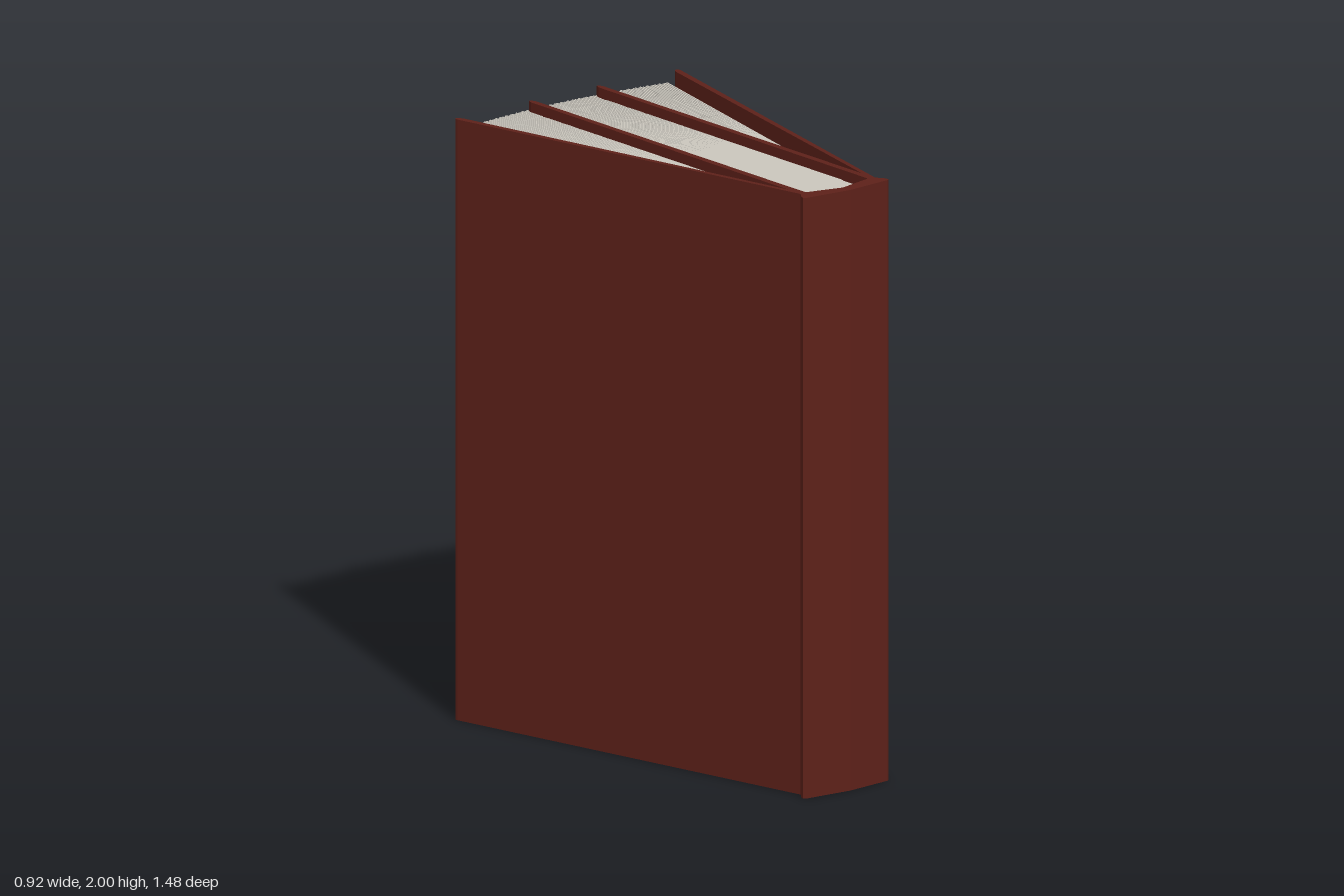
import * as THREE from 'three';

// Upright extrusion of a plan outline given as [x, z] points
function prism(name, plan, y0, y1, material) {
  const shape = new THREE.Shape(plan.map(([x, z]) => new THREE.Vector2(x, -z)));
  const geometry = new THREE.ExtrudeGeometry(shape, { depth: y1 - y0, bevelEnabled: false });
  geometry.rotateX(-Math.PI / 2).translate(0, y0, 0);
  const mesh = new THREE.Mesh(geometry, material);
  mesh.name = name;
  return mesh;
}

// Full symmetric outline from its +x half
const mirrored = (half) => [...half, ...half.map(([x, z]) => [-x, z]).reverse()];

export function createModel() {
  const book = new THREE.Group();
  book.name = 'book';
  const leather = new THREE.MeshStandardMaterial({ color: 0x5e2119 });
  const paper = new THREE.MeshStandardMaterial({ color: 0xcbc7be });

  // Spine with flared corners and a shallow ridge along the middle
  book.add(prism('spine', mirrored([
    [0, 0.737], [0.165, 0.722], [0.176, 0.715], [0.172, 0.7], [0.152, 0.672], [0.128, 0.668], [0, 0.7],
  ]), 0, 2, leather));

  // Splayed covers and the straight inner boards, with rounded fore-edges
  for (const s of [1, -1]) {
    const side = s > 0 ? 'left' : 'right';
    const flip = (plan) => plan.map(([x, z]) => [x * s, z]);
    book.add(prism(side + 'Cover', flip([
      [0.137, 0.675], [0.152, 0.68], [0.46, -0.695], [0.46, -0.707], [0.453, -0.714], [0.444, -0.707], [0.436, -0.69],
    ]), 0, 2, leather));
    book.add(prism(side + 'InnerBoard', flip([
      [0.128, 0.68], [0.152, 0.68], [0.15, -0.705], [0.145, -0.722], [0.136, -0.724], [0.129, -0.705],
    ]), 0, 2, leather));
  }

  // Solid bound core of the page block
  book.add(prism('pageBlock', mirrored([
    [0, 0.7], [0.11, 0.672], [0.13, 0.64], [0.13, -0.7], [0, -0.71],
  ]), 0.035, 1.965, paper));

  // Filled wedge beneath the fanned pages
  book.add(prism('fannedPageCore', mirrored([
    [0, 0.65], [0.1, 0.65], [0.385, -0.64], [0.2, -0.69], [0, -0.71],
  ]), 0.036, 1.964, paper));

  // Fanned pages, slightly uneven in length
  const pages = new THREE.Group();
  pages.name = 'pages';
  const count = 91, length = 1.4;
  for (let i = 0; i < count; i++) {
    const t = (i / (count - 1)) * 2 - 1;
    const l = length + 0.004 * Math.sin(i * 2.4);
    const geometry = new THREE.BoxGeometry(0.0055, 1.934, l).translate(0, 0, -l / 2);
    const page = new THREE.Mesh(geometry, paper);
    page.name = 'page';
    page.position.set(t * 0.095, 1, 0.665);
    page.rotation.y = -t * 0.225;
    pages.add(page);
  }
  book.add(pages);
  return book;
}
